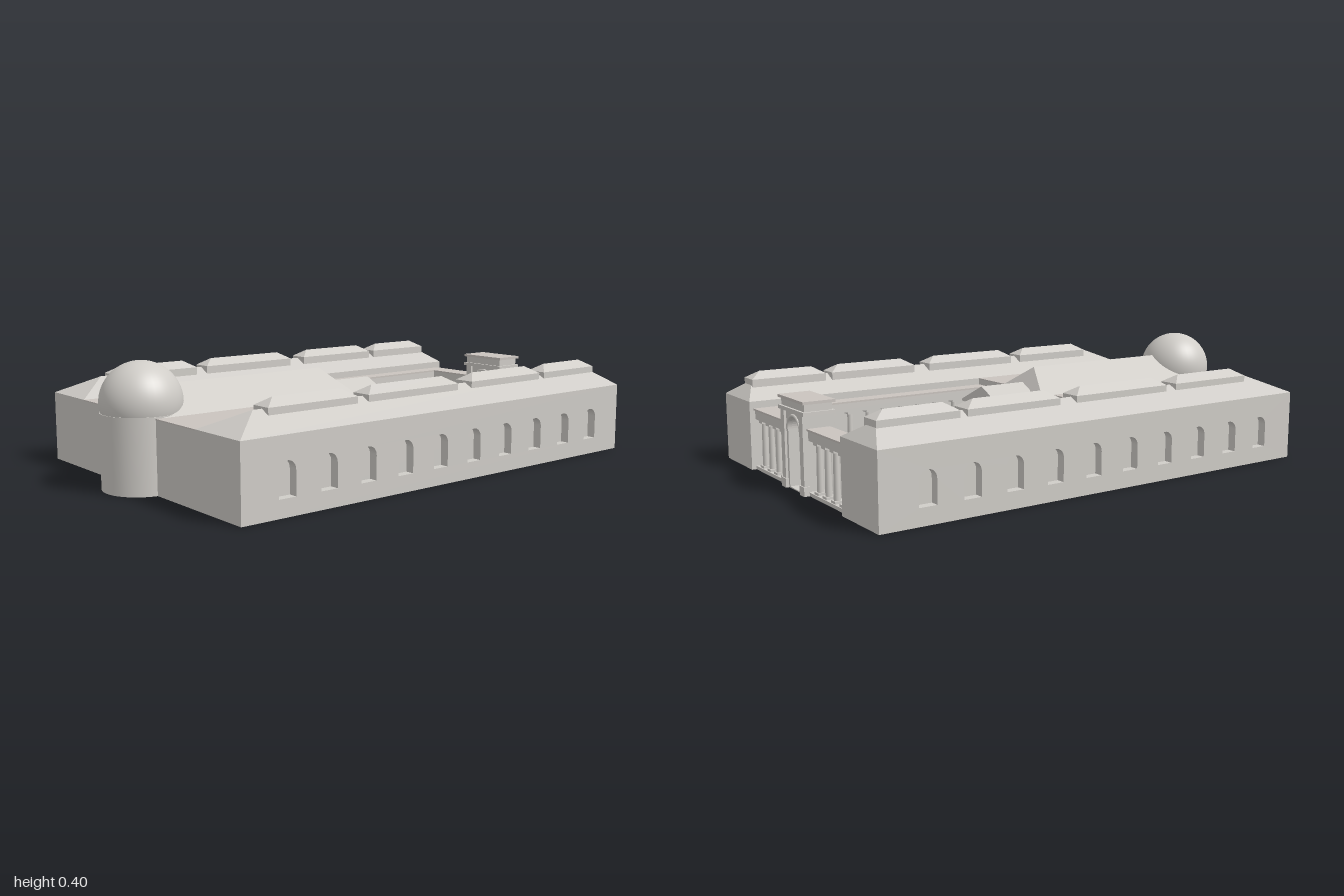
import * as THREE from 'three';

export function createModel() {
  const stone = new THREE.MeshStandardMaterial({ color: 0xd0cdc8 });
  stone.name = 'stone';
  const flatRoof = new THREE.MeshStandardMaterial({ color: 0xcac4bf });
  flatRoof.name = 'flatRoof';

  const model = new THREE.Group();
  model.name = 'museum';
  const plan = new THREE.Group(); // x runs along the wings, z across them
  plan.name = 'building';
  plan.rotation.y = THREE.MathUtils.degToRad(40.85);
  model.add(plan);

  const add = (name, geo, x = 0, y = 0, z = 0, mat = stone) => {
    const m = new THREE.Mesh(geo, mat);
    m.name = name;
    m.position.set(x, y, z);
    plan.add(m);
    return m;
  };

  // Box given by its limits
  const box = (name, x0, x1, y0, y1, z0, z1, mat) =>
    add(name, new THREE.BoxGeometry(x1 - x0, y1 - y0, z1 - z0),
      (x0 + x1) / 2, (y0 + y1) / 2, (z0 + z1) / 2, mat);

  // Ridge roof along x; insets make hipped ends, zero makes gables
  const roof = (name, x0, x1, z0, z1, y0, y1, in0, in1) => {
    const zm = (z0 + z1) / 2;
    const a = [x0, y0, z0], b = [x1, y0, z0], c = [x1, y0, z1], d = [x0, y0, z1];
    const p = [x0 + in0, y1, zm], q = [x1 - in1, y1, zm];
    const tris = [d, c, q, d, q, p, b, a, p, b, p, q, a, d, p, c, b, q, a, b, c, a, c, d];
    const geo = new THREE.BufferGeometry();
    geo.setAttribute('position', new THREE.Float32BufferAttribute(tris.flat(), 3));
    geo.computeVertexNormals();
    return add(name, geo);
  };

  // Round-headed opening as a closed path
  const arch = (cx, w, y0, top) => {
    const h = new THREE.Path(), r = w / 2;
    h.moveTo(cx - r, y0);
    h.lineTo(cx + r, y0);
    h.lineTo(cx + r, top - r);
    h.absarc(cx, top - r, r, 0, Math.PI, false);
    h.lineTo(cx - r, y0);
    return h;
  };

  const wall = (w, h, holes, depth) => {
    const s = new THREE.Shape();
    s.moveTo(-w / 2, 0);
    s.lineTo(w / 2, 0);
    s.lineTo(w / 2, h);
    s.lineTo(-w / 2, h);
    s.closePath();
    s.holes.push(...holes);
    return new THREE.ExtrudeGeometry(s, { depth, bevelEnabled: false, curveSegments: 10 });
  };

  // Column with base and capital
  const column = (x, z, top, r = 0.011, y0 = 0.012) => {
    add('columnShaft', new THREE.CylinderGeometry(r * 0.85, r, top - y0, 12), x, (top + y0) / 2, z);
    box('columnBase', x - r * 1.3, x + r * 1.3, y0, y0 + 0.008, z - r * 1.3, z + r * 1.3);
    box('columnCapital', x - r * 1.3, x + r * 1.3, top - 0.008, top, z - r * 1.3, z + r * 1.3);
  };

  const L = 0.826, W = 0.567, IN = 0.344, EAVE = 0.235;
  const skylights = [[-0.675, -0.345], [-0.302, 0.08], [0.145, 0.485], [0.51, 0.785]];
  const windows = Array.from({ length: 10 }, (_, i) => arch(-0.67 + i * 0.149, 0.06, 0.055, 0.162));

  // Two long wings with arched niches, hipped roofs and skylights
  for (const s of [1, -1]) {
    const span = (name, x0, x1, y0, y1, za, zb, mat) =>
      box(name, x0, x1, y0, y1, Math.min(s * za, s * zb), Math.max(s * za, s * zb), mat);
    span('wingBody', -L, L, 0, EAVE, IN, W - 0.03);
    const facade = add('wingFacade', wall(2 * L, EAVE, windows, 0.03), 0, 0, s * (W - 0.03));
    if (s < 0) facade.rotation.y = Math.PI;
    roof('wingRoof', -L, L, s > 0 ? IN : -W, s > 0 ? W : -IN, EAVE, 0.292, 0.12, 0.055);

    const zc = s * 0.45;
    for (const [a, b] of skylights) {
      box('skylightCurb', a, b, 0.265, 0.298, zc - 0.036, zc + 0.036);
      roof('skylightRoof', a, b, zc - 0.036, zc + 0.036, 0.298, 0.322, 0.04, 0.04);
    }

    // Courtyard colonnade along the wing
    span('colonnadeFloor', -0.1, 0.74, 0, 0.012, 0.288, IN);
    span('colonnadeBeam', -0.1, 0.74, 0.172, 0.205, 0.288, IN);
    span('colonnadeCornice', -0.1, 0.74, 0.205, 0.211, 0.284, IN, flatRoof);
    for (let i = 0; i < 11; i++) column(-0.03 + i * 0.072, s * 0.303, 0.172);

    // Open entrance screen beside the gate
    span('screenFloor', 0.735, 0.81, 0, 0.012, 0.08, IN);
    span('screenBeam', 0.738, 0.807, 0.174, 0.205, 0.08, IN);
    span('screenCornice', 0.733, 0.812, 0.205, 0.211, 0.08, IN, flatRoof);
    for (let i = 0; i < 4; i++)
      for (const x of [0.753, 0.792]) column(x, s * (0.128 + i * 0.058), 0.174);

    // Ledge on the inner court wall
    span('courtLedge', -0.1, -0.06, 0.172, 0.211, 0.125, 0.3, flatRoof);
    span('courtPlinth', -0.1, -0.06, 0, 0.012, 0.125, 0.3);
  }

  // Block between the wings and the central hall
  box('westBlock', -L, -0.1, 0, EAVE - 0.004, -IN, IN);
  box('westFlatRoof', -L, -0.1, EAVE - 0.004, EAVE, -IN, IN, flatRoof);
  box('hallEnd', -0.1, -0.05, 0, EAVE, -0.13, 0.13);
  roof('hallRoof', -0.8, -0.05, -0.13, 0.13, EAVE, 0.318, 0, 0.06);

  // Domed rotunda
  add('rotundaDrum', new THREE.CylinderGeometry(0.128, 0.128, 0.24, 40), -0.803, 0.12, 0);
  add('dome', new THREE.SphereGeometry(0.129, 40, 20, 0, Math.PI * 2, 0, Math.PI * 0.62), -0.803, 0.268, 0);

  // Temple portico in the courtyard
  box('porticoFloor', -0.06, 0.113, 0, 0.012, -0.122, 0.122);
  box('porticoBeam', -0.06, 0.11, 0.172, 0.2, -0.118, 0.118);
  box('porticoCornice', -0.06, 0.116, 0.2, 0.208, -0.125, 0.125);
  roof('porticoRoof', -0.06, 0.116, -0.125, 0.125, 0.208, 0.268, 0, 0);
  for (let i = 0; i < 4; i++) column(0.095, -0.102 + i * 0.068, 0.172, 0.012);
  for (const z of [-0.102, 0.102]) for (const x of [-0.025, 0.035]) column(x, z, 0.172, 0.012);

  // Triumphal gate
  const gate = add('gateArch', wall(0.166, 0.252, [arch(0, 0.09, 0.004, 0.236)], 0.09), 0.727, 0, 0);
  gate.rotation.y = Math.PI / 2;
  box('gateCornice', 0.718, 0.827, 0.252, 0.264, -0.095, 0.095);
  box('gateAttic', 0.726, 0.819, 0.264, 0.288, -0.087, 0.087);
  box('gateCap', 0.718, 0.827, 0.288, 0.297, -0.095, 0.095, flatRoof);
  for (const z of [-0.07, 0.07])
    for (const x of [0.726, 0.818]) {
      box('gatePilaster', x - 0.007, x + 0.007, 0, 0.252, z - 0.013, z + 0.013);
      box('gatePilasterBase', x - 0.01, x + 0.01, 0, 0.03, z - 0.017, z + 0.017);
    }
  // Raised archivolt on both faces
  for (const x of [0.727, 0.817]) {
    const ring = add('gateArchivolt', new THREE.TorusGeometry(0.049, 0.005, 6, 20, Math.PI), x, 0.191, 0);
    ring.rotation.y = Math.PI / 2;
  }

  return model;
}
